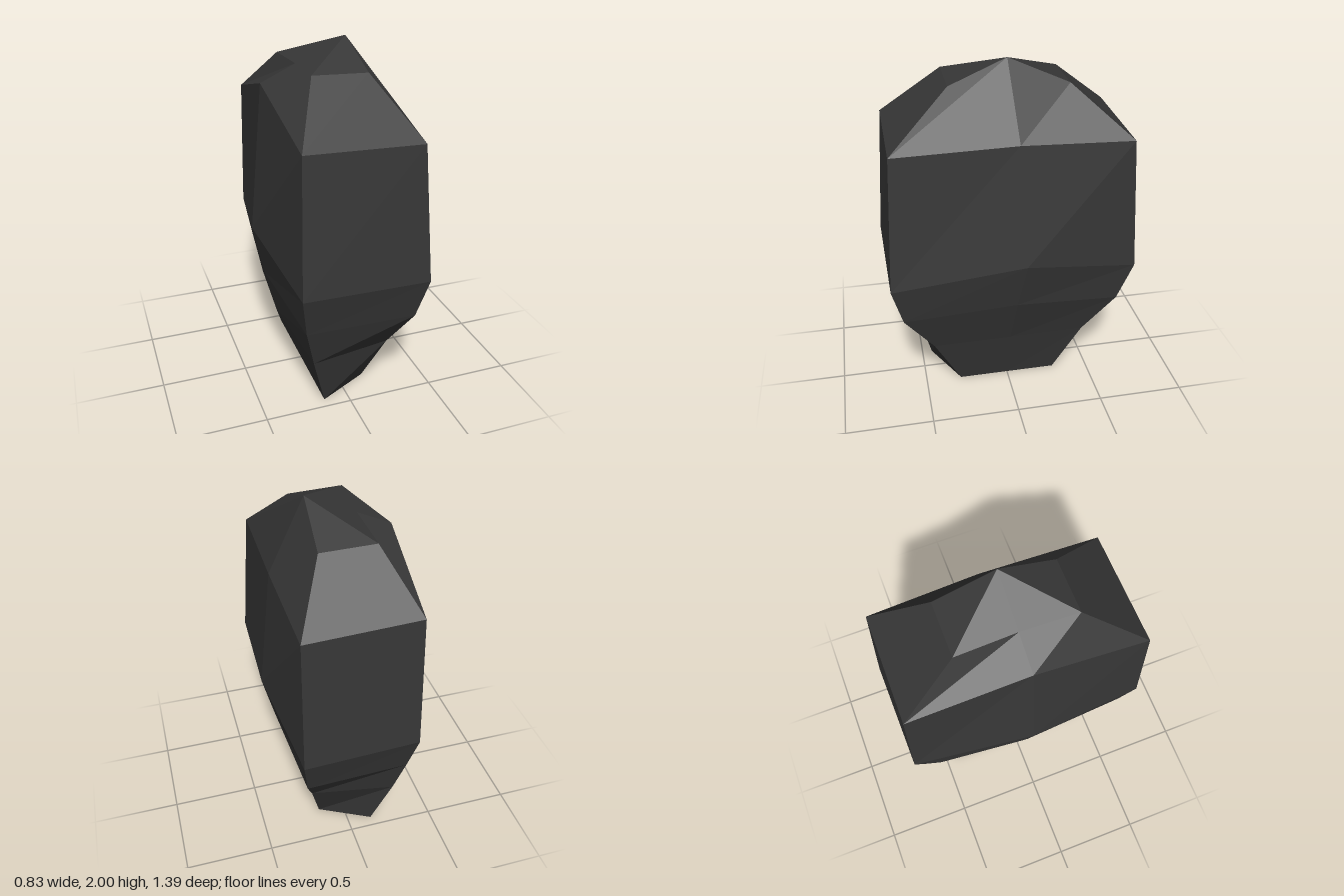
import * as THREE from 'three';

// Rings from the ground up. Each runs: front, middle, back on +x, then back, middle, front on -x.
const rings = [
  [[0.15, 0, 0.29], [0.15, 0, 0], [0.15, 0, -0.29], [-0.14, 0, -0.44], [-0.14, 0, 0], [-0.14, 0, 0.44]],
  [[0.235, 0.33, 0.45], [0.24, 0.335, 0], [0.23, 0.33, -0.44], [-0.23, 0.35, -0.54], [-0.29, 0.38, 0], [-0.24, 0.35, 0.55]],
  [[0.32, 0.585, 0.62], [0.345, 0.635, -0.02], [0.3, 0.58, -0.62], [-0.27, 0.6, -0.62], [-0.355, 0.65, 0], [-0.305, 0.6, 0.63]],
  [[0.37, 0.82, 0.68], [0.415, 0.92, -0.06], [0.335, 0.815, -0.7], [-0.305, 0.83, -0.69], [-0.42, 0.95, 0], [-0.345, 0.84, 0.695]],
  [[0.32, 1.58, 0.64], [0.335, 1.6, -0.03], [0.325, 1.575, -0.65], [-0.295, 1.6, -0.65], [-0.345, 1.78, 0], [-0.325, 1.6, 0.645]],
  [[0.14, 1.87, 0.31], [0.13, 2, 0], [0.15, 1.855, -0.33], [-0.155, 1.86, -0.33], [-0.15, 1.87, 0], [-0.165, 1.88, 0.31]],
];

function buildRock() {
  const n = 6;
  const index = [];
  // Faceted sides between neighbouring rings
  for (let r = 0; r < rings.length - 1; r++) {
    for (let i = 0; i < n; i++) {
      const a = r * n + i, b = r * n + (i + 1) % n;
      index.push(a, b, b + n, a, b + n, a + n);
    }
  }
  // Crown and flat underside
  const top = (rings.length - 1) * n;
  for (const [a, b, c] of [[0, 1, 5], [1, 4, 5], [1, 2, 3], [1, 3, 4]]) {
    index.push(top + a, top + b, top + c, a, c, b);
  }
  const indexed = new THREE.BufferGeometry();
  indexed.setAttribute('position', new THREE.Float32BufferAttribute(rings.flat(2), 3));
  indexed.setIndex(index);
  const geometry = indexed.toNonIndexed();
  geometry.computeVertexNormals();
  return geometry;
}

export function createModel() {
  const stone = new THREE.MeshStandardMaterial({ color: 0x373737, flatShading: true });
  stone.name = 'dark stone';
  const rock = new THREE.Mesh(buildRock(), stone);
  rock.name = 'rock';
  const group = new THREE.Group();
  group.name = 'standing rock';
  group.add(rock);
  return group;
}
